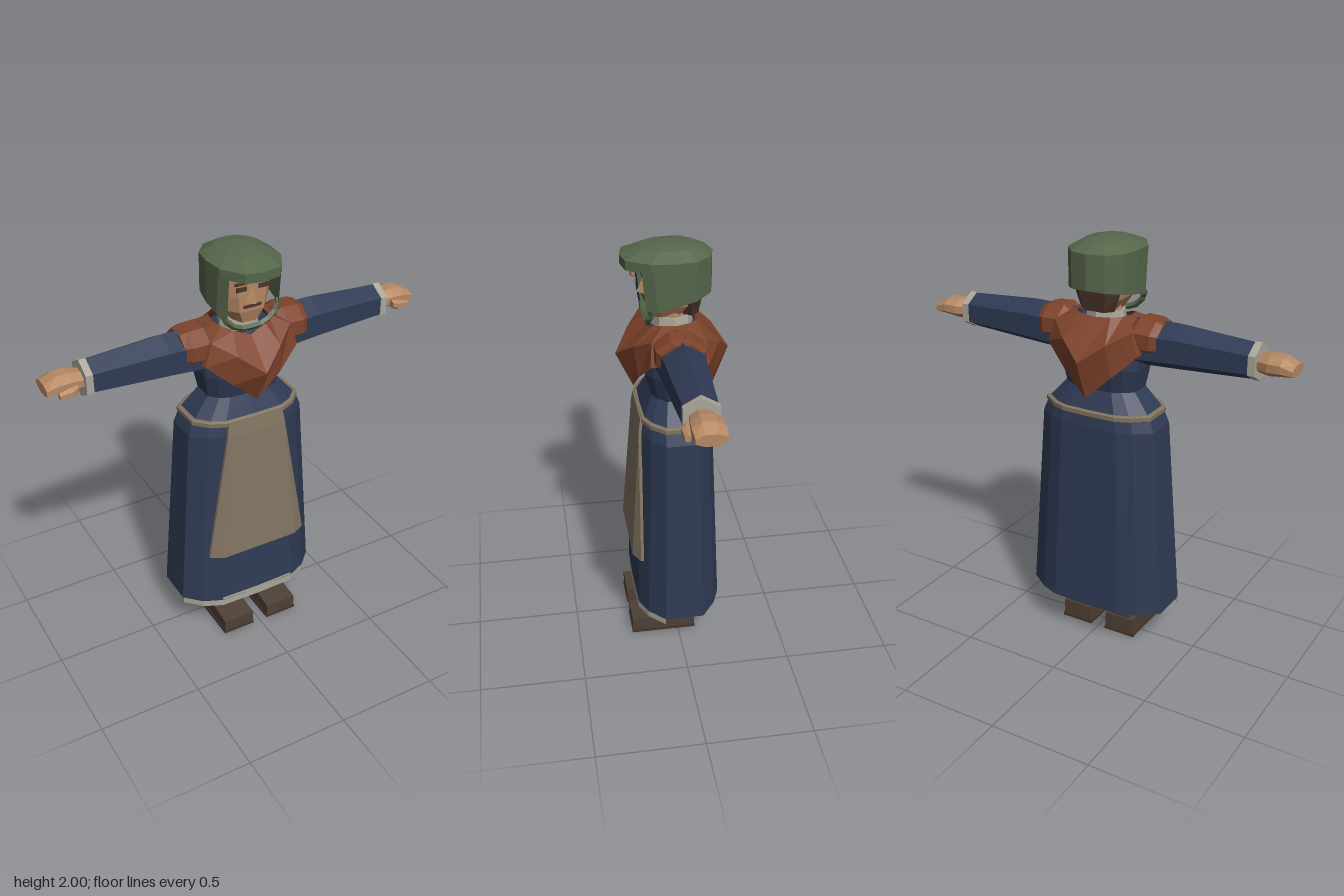
import * as THREE from 'three';

const mat = (name, color, double) => {
  const m = new THREE.MeshStandardMaterial({ color });
  m.name = name;
  if (double) m.side = THREE.DoubleSide;
  return m;
};

// Mirror a half outline (front to back along +x) into a closed ring
const mirror = half => half.concat(
  half.filter(p => p[0] > 0.0001).reverse().map(([x, y, z]) => [-x, y, z]));

// Skin a list of rings with flat facets
function loft(rings, { closed = true, caps = true } = {}) {
  const n = rings[0].length, index = [];
  for (let r = 0; r < rings.length - 1; r++)
    for (let i = 0; i < (closed ? n : n - 1); i++) {
      const j = (i + 1) % n, a = r * n, b = a + n;
      index.push(a + i, a + j, b + j, a + i, b + j, b + i);
    }
  if (closed && caps) {
    const t = (rings.length - 1) * n;
    for (let i = 1; i < n - 1; i++) index.push(0, i + 1, i, t, t + i, t + i + 1);
  }
  const g = new THREE.BufferGeometry();
  g.setAttribute('position', new THREE.Float32BufferAttribute(rings.flat(2), 3));
  g.setIndex(index);
  return flat(g);
}

function flat(g) {
  const f = g.index ? g.toNonIndexed() : g;
  f.computeVertexNormals();
  return f;
}

// Ring across the x axis: n corners, half sizes hy and hz, centre cy and cz
const xRing = (x, cy, hy, hz, n = 6, turn = 0, cz = 0) =>
  Array.from({ length: n }, (_, i) => {
    const a = (i / n) * Math.PI * 2 + turn;
    return [x, cy + Math.cos(a) * hy, cz + Math.sin(a) * hz];
  });

export function createModel() {
  const model = new THREE.Group();
  const navy = mat('navy cloth', 0x2f3a54, true);
  const rust = mat('rust shawl', 0x7e432b, true);
  const green = mat('green bonnet', 0x56664a, true);
  const skin = mat('skin', 0xb58863);
  const tan = mat('apron linen', 0x817461);
  const cream = mat('cream trim', 0xaaa699, true);
  const brown = mat('boot brown', 0x4e4036);
  const dark = mat('dark brown', 0x49352a);

  const add = (name, g, m, parent = model) => {
    const mesh = new THREE.Mesh(g, m);
    mesh.name = name;
    parent.add(mesh);
    return mesh;
  };
  const box = (name, w, h, d, x, y, z, m, parent) =>
    add(name, flat(new THREE.BoxGeometry(w, h, d)), m, parent).position.set(x, y, z);

  // Skirt, bodice, belt and hem share one outline
  const outline = [[0, 0.205], [0.2, 0.2], [0.29, 0.16], [0.365, 0.085],
    [0.365, -0.1], [0.27, -0.17], [0.18, -0.205], [0, -0.21]];
  const dressRing = (y, sx, sz = sx) => mirror(outline.map(([x, z]) => [x * sx, y, z * sz]));
  add('skirt', loft([dressRing(0.2, 1), dressRing(1.14, 0.82), dressRing(1.21, 0.74, 0.77),
    dressRing(1.31, 0.5, 0.54)], { caps: false }), navy);
  add('bodice', loft([dressRing(1.305, 0.5, 0.54), dressRing(1.42, 0.56, 0.68),
    dressRing(1.55, 0.56, 0.66), dressRing(1.62, 0.4, 0.5)]), navy);
  add('belt', loft([dressRing(1.19, 0.75, 0.79), dressRing(1.195, 0.77, 0.82),
    dressRing(1.215, 0.77, 0.82), dressRing(1.22, 0.74, 0.78)]), tan);

  // Petticoat edge showing under the front of the skirt
  const hem = y => outline.slice(0, 4).reverse().map(([x, z]) => [-x * 0.985, y, z])
    .concat(outline.slice(1, 4).map(([x, z]) => [x * 0.985, y, z]));
  add('petticoatHem', loft([hem(0.165), hem(0.215)], { closed: false }), cream);

  // Apron wrapping the skirt front
  const apronRing = (y, xi, xo, zf, zo) => mirror([[0, y, zf], [xi, y, zf], [xo, y, zo],
    [xo, y, zo - 0.014], [xi, y, zf - 0.014], [0, y, zf - 0.014]]);
  add('apron', loft([apronRing(0.49, 0.2, 0.262, 0.224, 0.19),
    apronRing(1.14, 0.13, 0.152, 0.18, 0.178),
    apronRing(1.213, 0.12, 0.14, 0.17, 0.168)]), tan);

  // Pointed shawl
  const shawlHem = [[0, 1.31, 0.18], [0.12, 1.41, 0.17], [0.235, 1.51, 0.13], [0.25, 1.52, 0],
    [0.235, 1.51, -0.13], [0.12, 1.4, -0.17], [0, 1.29, -0.19]];
  const shawlRidge = [[0, 1.48, 0.26], [0.11, 1.56, 0.19], [0.2, 1.615, 0.12], [0.23, 1.63, 0],
    [0.2, 1.615, -0.12], [0.11, 1.56, -0.2], [0, 1.48, -0.262]];
  const shawlNeck = [[0, 1.61, 0.12], [0.08, 1.64, 0.1], [0.12, 1.655, 0.06], [0.13, 1.655, 0],
    [0.12, 1.66, -0.06], [0.08, 1.66, -0.1], [0, 1.655, -0.11]];
  add('shawl', loft([shawlHem, shawlRidge, shawlNeck].map(mirror), { caps: false }), rust);

  // Neck and collar
  const tube = (name, r, h, y, m) =>
    add(name, flat(new THREE.CylinderGeometry(r, r * 1.08, h, 8)), m).position.y = y;
  tube('neck', 0.075, 0.16, 1.66, skin);
  tube('collar', 0.09, 0.06, 1.64, cream);

  // Head
  const headRing = (y, x, zf, zb) => mirror([[0, y, zf], [x * 0.6, y, zf], [x, y, zf - 0.05],
    [x, y, zb + 0.04], [x * 0.6, y, zb], [0, y, zb]]);
  add('head', loft([headRing(1.67, 0.06, 0.105, -0.06), headRing(1.73, 0.1, 0.123, -0.09),
    headRing(1.8, 0.113, 0.126, -0.105), headRing(1.93, 0.115, 0.126, -0.12)]), skin);
  add('hair', loft([headRing(1.68, 0.085, -0.03, -0.112), headRing(1.76, 0.112, -0.02, -0.125),
    headRing(1.9, 0.12, 0, -0.14)]), dark);

  // Face
  const nose = add('nose', flat(new THREE.ConeGeometry(0.032, 0.075, 4)), skin);
  nose.position.set(0, 1.812, 0.126);
  box('mouth', 0.085, 0.013, 0.008, 0, 1.755, 0.126, dark);
  for (const s of [-1, 1]) {
    box('eyebrow', 0.06, 0.012, 0.008, s * 0.056, 1.868, 0.127, dark);
    box('eye', 0.05, 0.02, 0.008, s * 0.054, 1.842, 0.127, dark);
  }

  // Bonnet: crown with brim, side and back curtain, chin tie
  const brim = [[0, 0.23], [0.085, 0.215], [0.152, 0.11], [0.16, 0],
    [0.145, -0.09], [0.085, -0.16], [0, -0.18]];
  const crownRing = (y, s) => mirror(brim.map(([x, z]) => [x * s, y, z * s]));
  add('bonnetCrown', loft([crownRing(1.91, 1), crownRing(1.953, 1), crownRing(1.988, 0.62),
    crownRing(2, 0.25)]), green);
  const curtainHalf = [[0.13, 0.15, 1.69], [0.155, 0.1, 1.735], [0.16, 0, 1.755],
    [0.145, -0.09, 1.772], [0.085, -0.16, 1.785]];
  const curtain = scale => top => [...curtainHalf.map(([x, z, y]) => [x, top ? 1.92 : y,
    z - (top ? 0 : Math.max(0, z) * 0.15)]), [0, top ? 1.92 : 1.79, -0.18],
  ...curtainHalf.slice().reverse().map(([x, z, y]) => [-x, top ? 1.92 : y,
    z - (top ? 0 : Math.max(0, z) * 0.15)])].map(([x, y, z]) => [x * scale, y, z * scale]);
  const outer = curtain(1), inner = curtain(0.93);
  add('bonnetCurtain', loft([inner(true), inner(false), outer(false), outer(true)],
    { closed: false }), green);
  const tie = new THREE.CatmullRomCurve3([[-0.14, 1.74, 0.11], [-0.115, 1.69, 0.115],
    [-0.06, 1.655, 0.118], [0, 1.65, 0.12], [0.06, 1.655, 0.118], [0.115, 1.69, 0.115],
    [0.14, 1.74, 0.11]].map(p => new THREE.Vector3(...p)));
  add('chinTie', flat(new THREE.TubeGeometry(tie, 8, 0.014, 4)), green);

  // Arms and legs, built on the model's left and mirrored
  for (const s of [1, -1]) {
    const arm = new THREE.Group();
    arm.name = s > 0 ? 'leftArm' : 'rightArm';
    arm.scale.x = s;
    model.add(arm);
    const t = Math.PI / 8;
    add('shoulderDrape', loft([xRing(0.17, 1.57, 0.08, 0.115, 8, t), xRing(0.2, 1.575, 0.095, 0.122, 8, t),
      xRing(0.28, 1.575, 0.09, 0.122, 8, t), xRing(0.312, 1.573, 0.08, 0.1, 8, t)]), rust, arm);
    add('sleeve', loft([xRing(0.16, 1.54, 0.11, 0.12), xRing(0.38, 1.548, 0.107, 0.105),
      xRing(0.75, 1.547, 0.083, 0.083)]), navy, arm);
    add('cuff', loft([xRing(0.735, 1.547, 0.088, 0.088), xRing(0.768, 1.547, 0.088, 0.088)]), cream, arm);
    add('hand', loft([xRing(0.76, 1.547, 0.042, 0.055, 8, t), xRing(0.82, 1.55, 0.05, 0.072, 8, t, -0.008),
      xRing(0.88, 1.553, 0.045, 0.076, 8, t, -0.008), xRing(0.935, 1.542, 0.028, 0.07, 8, t, -0.008)]), skin, arm);
    add('thumb', loft([xRing(0.805, 1.54, 0.02, 0.02, 6, 0, 0.065), xRing(0.83, 1.535, 0.024, 0.022, 6, 0, 0.075),
      xRing(0.89, 1.53, 0.016, 0.014, 6, 0, 0.076)]), skin, arm);

    const leg = new THREE.Group();
    leg.name = s > 0 ? 'leftLeg' : 'rightLeg';
    leg.position.x = s * 0.122;
    model.add(leg);
    const rect = (x, y0, y1, z) => [[-x, y0, z], [x, y0, z], [x, y1, z], [-x, y1, z]];
    add('shoe', loft([rect(0.078, 0, 0.095, -0.085), rect(0.078, 0, 0.095, 0.07),
      rect(0.08, 0, 0.075, 0.23)]), brown, leg);
    box('sole', 0.166, 0.016, 0.318, 0, 0.008, 0.073, dark, leg);
    box('ankle', 0.105, 0.07, 0.14, 0, 0.12, -0.005, brown, leg);
    box('bootCuff', 0.165, 0.02, 0.16, 0, 0.16, -0.008, brown, leg);
    box('stocking', 0.12, 0.5, 0.13, 0, 0.41, -0.005, navy, leg);
  }
  return model;
}
